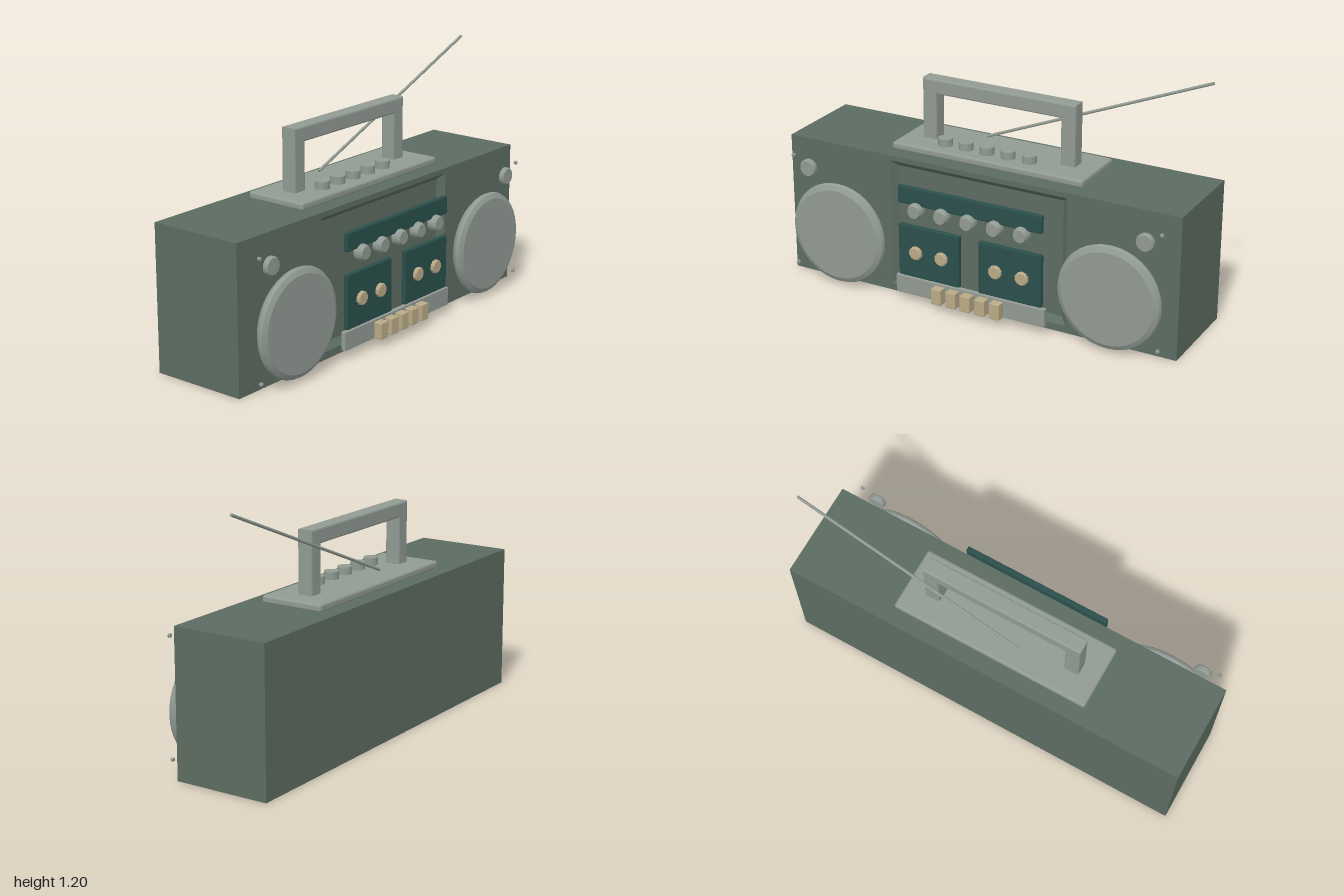
import * as THREE from 'three';
import { RoundedBoxGeometry } from 'three/addons/geometries/RoundedBoxGeometry.js';
import { toCreasedNormals } from 'three/addons/utils/BufferGeometryUtils.js';

const material = (name, color) => {
  const m = new THREE.MeshStandardMaterial({ color });
  m.name = name;
  return m;
};

export function createModel() {
  const group = new THREE.Group();
  const green = material('case green', 0x5c6c61);
  const grey = material('trim grey', 0x919a93);
  const teal = material('panel teal', 0x2a4f4c);
  const tan = material('button tan', 0xb9aa86);

  const add = (name, geometry, mat, x = 0, y = 0, z = 0) => {
    const mesh = new THREE.Mesh(geometry, mat);
    mesh.name = name;
    mesh.position.set(x, y, z);
    group.add(mesh);
    return mesh;
  };

  // Rounded block given by its limits on each axis
  const block = (name, mat, [x0, x1], [y0, y1], [z0, z1], r = 0.006) =>
    add(name, new RoundedBoxGeometry(x1 - x0, y1 - y0, z1 - z0, 2, r), mat,
      (x0 + x1) / 2, (y0 + y1) / 2, (z0 + z1) / 2);

  // Turned part facing +z, from [radius, depth] pairs ordered back to front
  const turned = (profile, sides) => {
    const points = profile.map(([r, h]) => new THREE.Vector2(r, h));
    const g = new THREE.LatheGeometry(points, sides);
    g.rotateX(Math.PI / 2);
    return toCreasedNormals(g, 0.5);
  };

  // Case: rectangles [x0, x1, y0, y1, z] lofted from back to recess floor
  const loops = [
    [-1, 1, 0, 0.685, -0.29],
    [-1, 1, 0, 0.685, 0.175],
    [-0.455, 0.455, 0.035, 0.66, 0.175],
    [-0.425, 0.425, 0.064, 0.632, 0.145],
  ].map(([x0, x1, y0, y1, z]) => [[x0, y0, z], [x1, y0, z], [x1, y1, z], [x0, y1, z]]);
  const positions = [];
  const quad = (a, b, c, d) => positions.push(...a, ...b, ...c, ...a, ...c, ...d);
  quad(...[...loops[0]].reverse());
  for (let i = 0; i < 3; i++) {
    for (let j = 0; j < 4; j++) {
      const k = (j + 1) % 4;
      quad(loops[i][j], loops[i][k], loops[i + 1][k], loops[i + 1][j]);
    }
  }
  quad(...loops[3]);
  const caseGeometry = new THREE.BufferGeometry();
  caseGeometry.setAttribute('position', new THREE.Float32BufferAttribute(positions, 3));
  caseGeometry.computeVertexNormals();
  add('case', caseGeometry, green);

  // Speakers, tweeters and corner screws on both sides
  const speaker = turned([[0, 0.206], [0.2, 0.206], [0.226, 0.213], [0.245, 0.232],
    [0.25, 0.245], [0.244, 0.258], [0.222, 0.27], [0, 0.27]], 40);
  const tweeter = turned([[0, 0.228], [0.036, 0.228], [0.042, 0.233], [0.042, 0.25],
    [0.037, 0.257], [0, 0.257]], 24);
  const screw = turned([[0, 0.242], [0.009, 0.242], [0.009, 0.253], [0, 0.257]], 10);
  for (const side of [-1, 1]) {
    const label = side > 0 ? 'left' : 'right';
    add(label + 'Speaker', speaker, grey, side * 0.7, 0.268);
    add(label + 'Tweeter', tweeter, grey, side * 0.862, 0.567);
    for (const y of [0.065, 0.618]) add(label + 'Screw', screw, grey, side * 0.94, y);
  }

  // Tuner strip and its knobs
  block('tunerStrip', teal, [-0.37, 0.37], [0.497, 0.583], [0.226, 0.25]);
  const knob = turned([[0, 0.235], [0.038, 0.235], [0.038, 0.262], [0.03, 0.278], [0, 0.278]], 20);
  for (let i = -2; i <= 2; i++) add('tunerKnob', knob, grey, i * 0.136, 0.476);

  // Cassette doors with reel hubs
  const hub = turned([[0, 0.245], [0.033, 0.245], [0.033, 0.262], [0.028, 0.267], [0, 0.267]], 10);
  for (const side of [-1, 1]) {
    block('cassetteDoor', teal, side > 0 ? [0.05, 0.37] : [-0.37, -0.05], [0.135, 0.392], [0.226, 0.25]);
    for (const x of [0.14, 0.275]) add('reelHub', hub, tan, side * x, 0.263);
  }

  // Key bar with five keys
  block('keyBar', grey, [-0.387, 0.387], [0.042, 0.13], [0.226, 0.25], 0.003);
  for (let i = -2; i <= 2; i++) {
    const x = i * 0.076;
    block('key', tan, [x - 0.026, x + 0.026], [0.042, 0.12], [0.235, 0.29], 0.004);
  }

  // Top plate and push buttons
  block('topPlate', grey, [-0.49, 0.49], [0.682, 0.719], [-0.213, 0.097], 0.012);
  const button = new THREE.CylinderGeometry(0.034, 0.034, 0.05, 24);
  for (let i = -2; i <= 2; i++) add('topButton', button, grey, -0.035 + i * 0.109, 0.73, 0.012);

  // Carrying handle: an arch extruded front to back
  const arch = new THREE.Shape();
  [[-0.387, 0.7], [-0.33, 0.7], [-0.33, 0.948], [0.325, 0.948], [0.325, 0.7], [0.383, 0.7],
    [0.383, 1.004], [-0.387, 1.004]].forEach(([x, y], i) => (i ? arch.lineTo(x, y) : arch.moveTo(x, y)));
  arch.closePath();
  const handle = new THREE.ExtrudeGeometry(arch, {
    depth: 0.058, bevelEnabled: true, bevelThickness: 0.008, bevelSize: 0.008, bevelSegments: 2,
  });
  add('handle', handle, grey, 0, 0, -0.092);

  // Slanted aerial
  const from = new THREE.Vector3(-0.108, 0.742, -0.127);
  const to = new THREE.Vector3(0.992, 1.19, -0.127);
  const aerial = add('aerial', new THREE.CylinderGeometry(0.007, 0.007, from.distanceTo(to), 12), grey);
  aerial.position.lerpVectors(from, to, 0.5);
  aerial.quaternion.setFromUnitVectors(new THREE.Vector3(0, 1, 0), to.clone().sub(from).normalize());

  return group;
}
